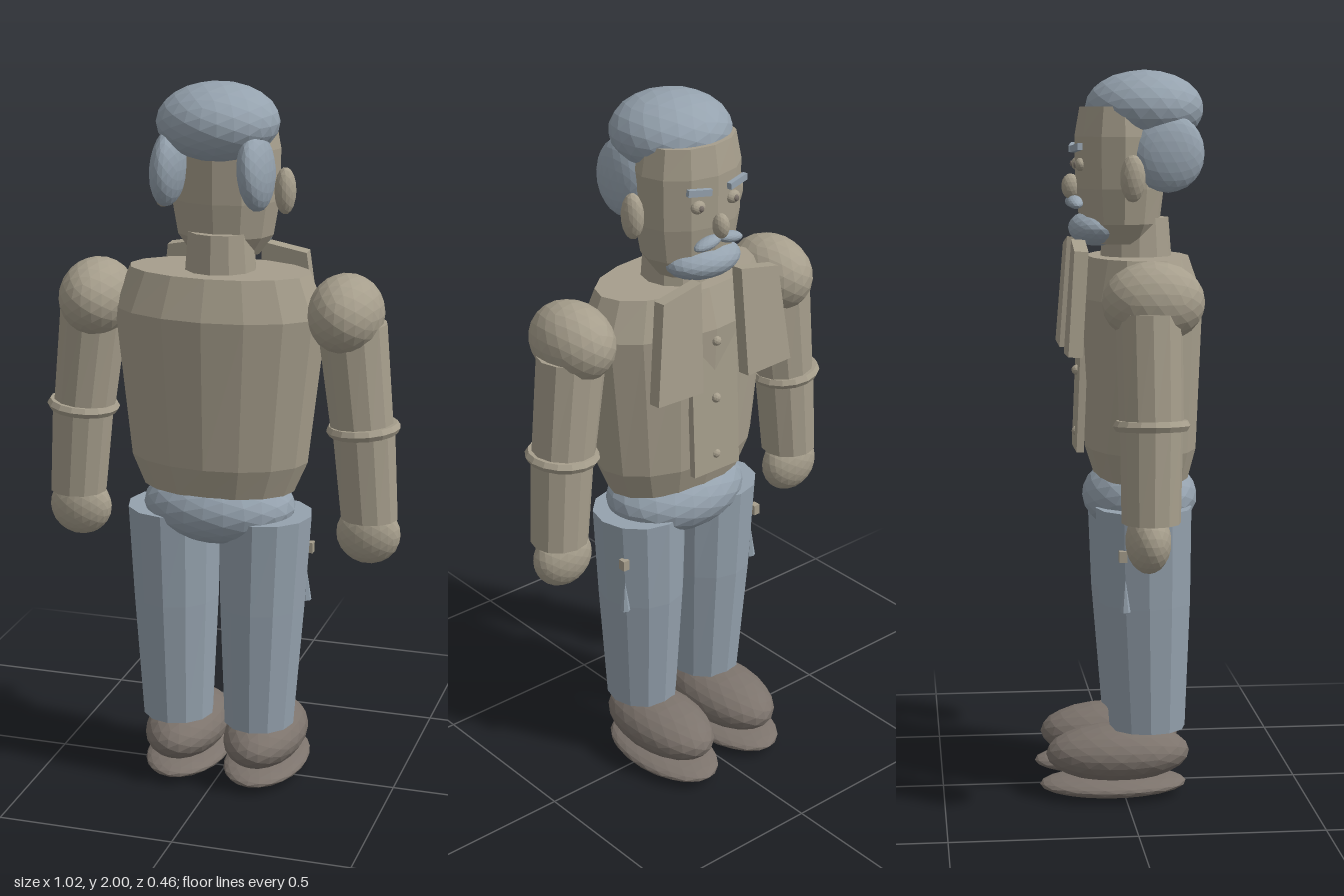
import * as THREE from 'three';

const material = (name, color) => {
  const m = new THREE.MeshStandardMaterial({ color });
  m.name = name;
  return m;
};

export function createModel() {
  const tan = material('warm tan', 0xa69e8c);
  const blue = material('grey blue', 0x95a2ae);
  const brown = material('shoe brown', 0x7c736c);
  const model = new THREE.Group();
  model.name = 'standingFigure';

  // Faceted mesh: every face gets its own normal
  const add = (name, geometry, mat, x = 0, y = 0, z = 0) => {
    const g = geometry.index ? geometry.toNonIndexed() : geometry;
    g.computeVertexNormals();
    const mesh = new THREE.Mesh(g, mat);
    mesh.name = name;
    mesh.position.set(x, y, z);
    model.add(mesh);
    return mesh;
  };

  // Faceted ellipsoid
  const blob = (name, mat, [x, y, z], [rx, ry, rz], detail = 3) =>
    add(name, new THREE.IcosahedronGeometry(1, detail).scale(rx, ry, rz), mat, x, y, z);

  // Closed loft through horizontal elliptical rings [x, y, z, rx, rz], bottom to top
  const loft = (name, mat, rings, sides = 12) => {
    const pos = [], idx = [];
    for (const [x, y, z, rx, rz] of rings) {
      for (let i = 0; i < sides; i++) {
        const a = (i / sides) * Math.PI * 2;
        pos.push(x + Math.sin(a) * rx, y, z + Math.cos(a) * rz);
      }
    }
    for (let r = 0; r < rings.length - 1; r++) {
      for (let i = 0; i < sides; i++) {
        const j = (i + 1) % sides;
        const a = r * sides + i, b = r * sides + j;
        idx.push(a, b, b + sides, a, b + sides, a + sides);
      }
    }
    const top = (rings.length - 1) * sides;
    for (let i = 1; i < sides - 1; i++) {
      idx.push(0, i + 1, i, top, top + i, top + i + 1);
    }
    const g = new THREE.BufferGeometry();
    g.setAttribute('position', new THREE.Float32BufferAttribute(pos, 3));
    g.setIndex(idx);
    return add(name, g, mat);
  };

  // Torso, hips and neck
  loft('torso', tan, [
    [0, 0.885, 0.06, 0.215, 0.13],
    [0, 0.97, 0.057, 0.252, 0.155],
    [0, 1.385, 0.053, 0.3, 0.175],
    [0, 1.495, 0.05, 0.255, 0.14],
  ], 16);
  blob('hips', blue, [0, 0.83, 0.055], [0.215, 0.108, 0.16]);
  loft('neck', tan, [[0, 1.47, 0.045, 0.1, 0.1], [0, 1.6, 0.045, 0.09, 0.09]]);

  // Head, with the face towards -z
  loft('head', tan, [
    [0, 1.53, 0, 0.095, 0.08],
    [0, 1.585, 0, 0.135, 0.11],
    [0, 1.68, 0, 0.152, 0.122],
    [0, 1.82, 0, 0.155, 0.124],
    [0, 1.9, 0, 0.14, 0.11],
  ]);
  blob('hairCap', blue, [0, 1.895, 0.067], [0.165, 0.105, 0.163]);
  blob('nose', tan, [0, 1.685, -0.135], [0.022, 0.035, 0.025], 2);
  blob('beard', blue, [0, 1.572, -0.062], [0.115, 0.05, 0.08]);

  // Shirt front and buttons
  add('shirtPanel', new THREE.BoxGeometry(0.16, 0.44, 0.02), tan, 0, 1.18, -0.108)
    .rotation.x = 0.04;
  for (const y of [1.01, 1.18, 1.35]) {
    blob('button', tan, [0, y, -0.12], [0.014, 0.014, 0.014], 1);
  }

  for (const s of [1, -1]) {
    // Face details and side hair
    blob('sideHair', blue, [s * 0.12, 1.777, 0.118], [0.045, 0.107, 0.1])
      .rotation.z = s * 0.08;
    blob('ear', tan, [s * 0.172, 1.71, 0.018], [0.029, 0.064, 0.034], 2);
    blob('eye', tan, [s * 0.06, 1.745, -0.113], [0.022, 0.018, 0.015], 2);
    blob('pupil', brown, [s * 0.06, 1.745, -0.127], [0.008, 0.009, 0.005], 1);
    add('eyebrow', new THREE.BoxGeometry(0.07, 0.018, 0.014), blue, s * 0.065, 1.79, -0.124)
      .rotation.set(0, s * -0.2, s * 0.12);
    blob('moustache', blue, [s * 0.037, 1.643, -0.125], [0.045, 0.016, 0.022], 2)
      .rotation.z = s * -0.2;

    // Lapel: a thick tapered slab leaning forward at the bottom
    const corners = [[0.07, 0.155], [0.2, 0.13], [0.235, -0.15], [0.08, -0.155]];
    const shape = new THREE.Shape(corners.map(([x, y]) => new THREE.Vector2(s * x, y)));
    add('lapel', new THREE.ExtrudeGeometry(shape, { depth: 0.038, bevelEnabled: false }),
      tan, 0, 1.39, -0.15).rotation.x = 0.07;

    // Arm
    blob('shoulder', tan, [s * 0.352, 1.395, 0.053], [0.103, 0.108, 0.136]);
    loft('upperArm', tan, [
      [s * 0.4, 1.07, 0.043, 0.088, 0.085],
      [s * 0.365, 1.37, 0.04, 0.098, 0.088],
    ]);
    const cuff = new THREE.TorusGeometry(0.086, 0.016, 6, 16).rotateX(Math.PI / 2);
    add('elbowRing', cuff, tan, s * 0.403, 1.078, 0.043).rotation.z = s * 0.08;
    loft('forearm', tan, [
      [s * 0.423, 0.825, 0.04, 0.08, 0.078],
      [s * 0.403, 1.08, 0.043, 0.088, 0.083],
    ]);
    blob('hand', tan, [s * 0.42, 0.775, 0.033], [0.09, 0.085, 0.06]);

    // Leg
    loft('trouserLeg', blue, [
      [s * 0.12, 0.195, 0.065, 0.1, 0.105],
      [s * 0.126, 0.55, 0.057, 0.121, 0.126],
      [s * 0.132, 0.815, 0.053, 0.132, 0.132],
    ]);
    add('pocketTab', new THREE.BoxGeometry(0.02, 0.03, 0.022), tan, s * 0.243, 0.7, -0.015);
    add('pocketSpike', new THREE.ConeGeometry(0.014, 0.09, 6), blue, s * 0.236, 0.59, -0.008);

    // Shoe
    blob('shoeUpper', brown, [s * 0.117, 0.122, -0.017], [0.114, 0.08, 0.2]);
    blob('shoeSole', brown, [s * 0.117, 0.035, -0.03], [0.117, 0.032, 0.204]);
  }
  return model;
}
